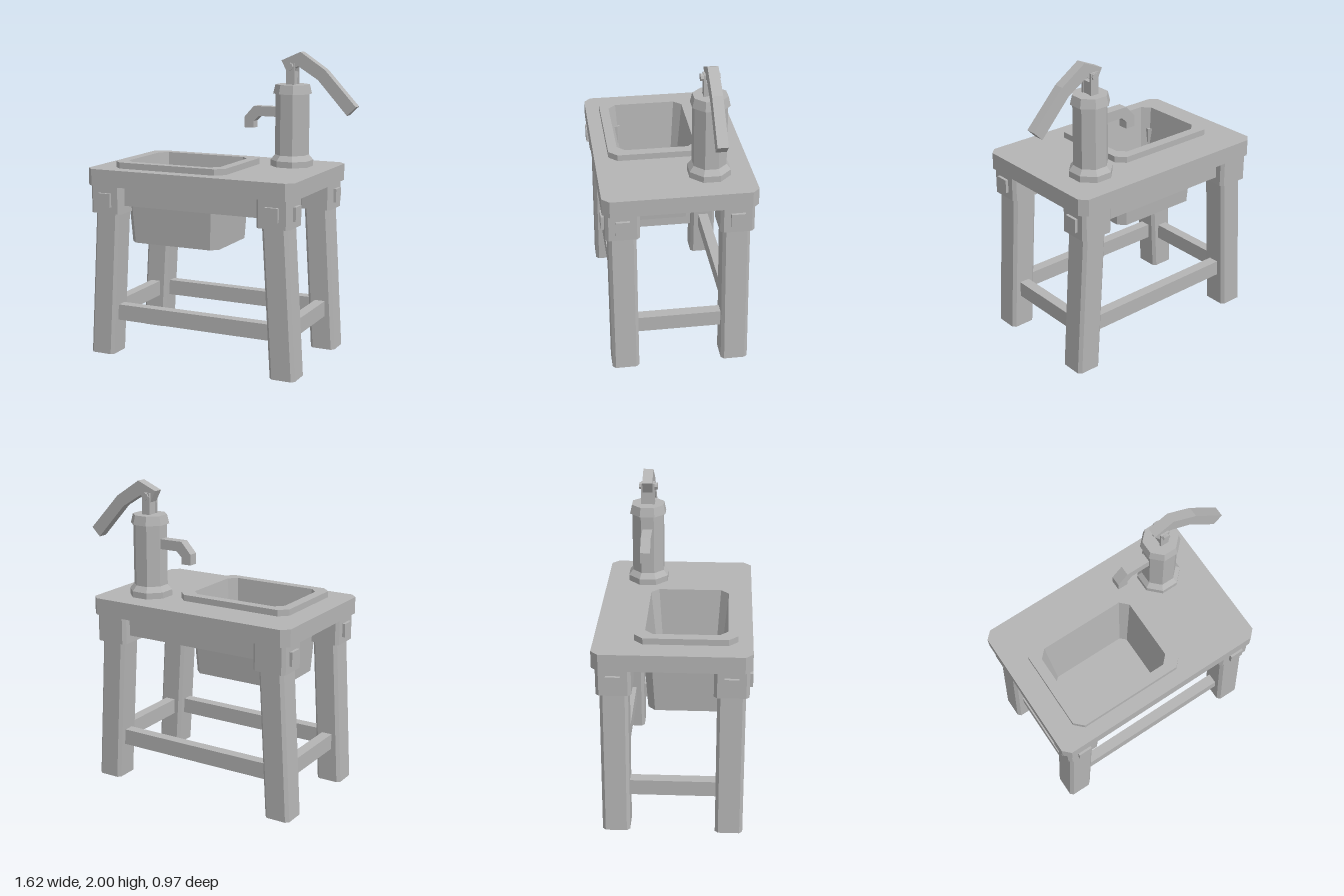
import * as THREE from 'three';

const MID = -0.078; // middle of the table along x

export function createModel() {
  const root = new THREE.Group();
  root.name = 'washstand';
  const grey = new THREE.MeshStandardMaterial({ color: 0xb4b4b4, flatShading: true });
  grey.name = 'plain grey';

  const add = (geo, name, parent = root) => {
    const mesh = new THREE.Mesh(geo, grey);
    mesh.name = name;
    parent.add(mesh);
    return mesh;
  };
  const group = (name) => {
    const g = new THREE.Group();
    g.name = name;
    root.add(g);
    return g;
  };
  const box = (name, w, h, d, x, y, z, parent) =>
    add(new THREE.BoxGeometry(w, h, d), name, parent).position.set(x, y, z);

  // Rectangle with cut corners, as [x, z] points
  const cutRect = (x, z, w, d, c) => {
    const a = w / 2, b = d / 2;
    return [[a, -b + c], [a, b - c], [a - c, b], [-a + c, b],
      [-a, b - c], [-a, -b + c], [-a + c, -b], [a - c, -b]].map(([u, v]) => [x + u, z + v]);
  };

  // Skin over cut-corner rings [y, x, z, width, depth, cut], closed at both ends
  const loft = (rings) => {
    const loops = rings.map(([y, x, z, w, d, c]) =>
      cutRect(x, z, w, d, c).map(([px, pz]) => new THREE.Vector3(px, y, pz)));
    const pts = [];
    for (let r = 0; r < loops.length - 1; r++) {
      for (let i = 0; i < 8; i++) {
        const j = (i + 1) % 8, lo = loops[r], hi = loops[r + 1];
        pts.push(lo[i], hi[i], lo[j], lo[j], hi[i], hi[j]);
      }
    }
    const first = loops[0], last = loops[loops.length - 1];
    for (let i = 1; i < 7; i++) {
      pts.push(first[0], first[i], first[i + 1]);
      pts.push(last[0], last[i + 1], last[i]);
    }
    const geo = new THREE.BufferGeometry().setFromPoints(pts);
    geo.computeVertexNormals();
    return geo;
  };

  // Flat outline in x/y, given a thickness along z
  const plate = (points, depth, z) => {
    const shape = new THREE.Shape(points.map(([x, y]) => new THREE.Vector2(x, y)));
    return new THREE.ExtrudeGeometry(shape, { depth, bevelEnabled: false }).translate(0, 0, z - depth / 2);
  };

  // Tabletop with an opening for the basin
  const toVectors = (list) => list.map(([x, z]) => new THREE.Vector2(x, -z));
  const top = new THREE.Shape(toVectors(cutRect(MID, -0.003, 1.45, 0.969, 0.046)));
  top.holes.push(new THREE.Path(toVectors(cutRect(-0.255, 0.077, 0.7, 0.54, 0.05))));
  add(new THREE.ExtrudeGeometry(top, { depth: 0.11, bevelEnabled: false })
    .rotateX(-Math.PI / 2).translate(0, 1.14, 0), 'tabletop');

  // Basin: outside wall, raised rim, then down the inside to the floor
  add(loft([
    [0.75, -0.255, 0.077, 0.635, 0.48, 0.045],
    [1.25, -0.255, 0.077, 0.7, 0.54, 0.05],
    [1.25, -0.257, 0.075, 0.795, 0.63, 0.055],
    [1.29, -0.257, 0.075, 0.795, 0.63, 0.055],
    [1.29, -0.257, 0.077, 0.665, 0.505, 0.05],
    [0.78, -0.255, 0.077, 0.57, 0.41, 0.035],
  ]), 'basin');

  // Splayed legs with corner blocks and square pegs
  for (const sx of [-1, 1]) {
    for (const sz of [-1, 1]) {
      const leg = group((sz > 0 ? 'front' : 'back') + (sx > 0 ? 'Left' : 'Right') + 'Leg');
      const z = sz * 0.357, bx = MID + sx * 0.5875;
      add(loft([
        [0, MID + sx * 0.648, z, 0.17, 0.175, 0.02],
        [1.0, MID + sx * 0.588, z, 0.17, 0.175, 0.02],
      ]), 'legPost', leg);
      add(loft([
        [0.96, bx, z, 0.222, 0.216, 0.02],
        [1.14, bx, z, 0.222, 0.216, 0.02],
      ]), 'cornerBlock', leg);
      box('sidePeg', 0.03, 0.09, 0.09, bx + sx * 0.115, 1.05, z, leg);
      if (sz > 0) box('frontPeg', 0.09, 0.09, 0.03, bx, 1.05, 0.47, leg);
    }
  }

  // Upper rails and lower stretchers
  for (const s of [-1, 1]) {
    box(s > 0 ? 'frontRail' : 'backRail', 1.0, 0.12, 0.06, MID, 1.07, s * 0.377);
    box(s > 0 ? 'frontStretcher' : 'backStretcher', 1.16, 0.105, 0.07, MID, 0.283, s * 0.357);
    box(s > 0 ? 'leftStretcher' : 'rightStretcher', 0.07, 0.105, 0.6, MID + s * 0.63, 0.283, 0);
  }

  // Hand pump: eight-sided barrel with stepped foot and cap
  const pump = group('handPump');
  const px = 0.361, pz = -0.214;
  const profile = [[0, 1.25], [0.13, 1.25], [0.13, 1.29], [0.103, 1.325], [0.103, 1.725],
    [0.117, 1.725], [0.104, 1.785], [0, 1.785]];
  add(new THREE.LatheGeometry(
    profile.map(([r, y]) => new THREE.Vector2(r / Math.cos(Math.PI / 8), y)), 8, Math.PI / 8),
  'barrel', pump).position.set(px, 0, pz);

  // Bent spout
  add(plate([[0.28, 1.635], [0.098, 1.635], [0.03, 1.56], [0.03, 1.49],
    [0.098, 1.49], [0.098, 1.535], [0.135, 1.57], [0.28, 1.57]], 0.065, pz), 'spout', pump);

  // Forked stem and pivot pin
  for (const s of [-1, 1]) {
    box('forkProng', 0.058, 0.145, 0.014, px, 1.8525, pz + s * 0.038, pump);
  }
  box('stem', 0.045, 0.09, 0.065, px, 1.82, pz, pump);
  add(new THREE.CylinderGeometry(0.024, 0.024, 0.12, 8).rotateX(Math.PI / 2), 'pivotPin', pump)
    .position.set(px, 1.902, pz + 0.004);

  // Curved pump handle
  add(plate([[0.294, 1.94], [0.426, 1.997], [0.595, 1.885], [0.807, 1.656],
    [0.749, 1.598], [0.548, 1.82], [0.41, 1.905], [0.333, 1.865]], 0.066, pz), 'handle', pump);

  return root;
}
